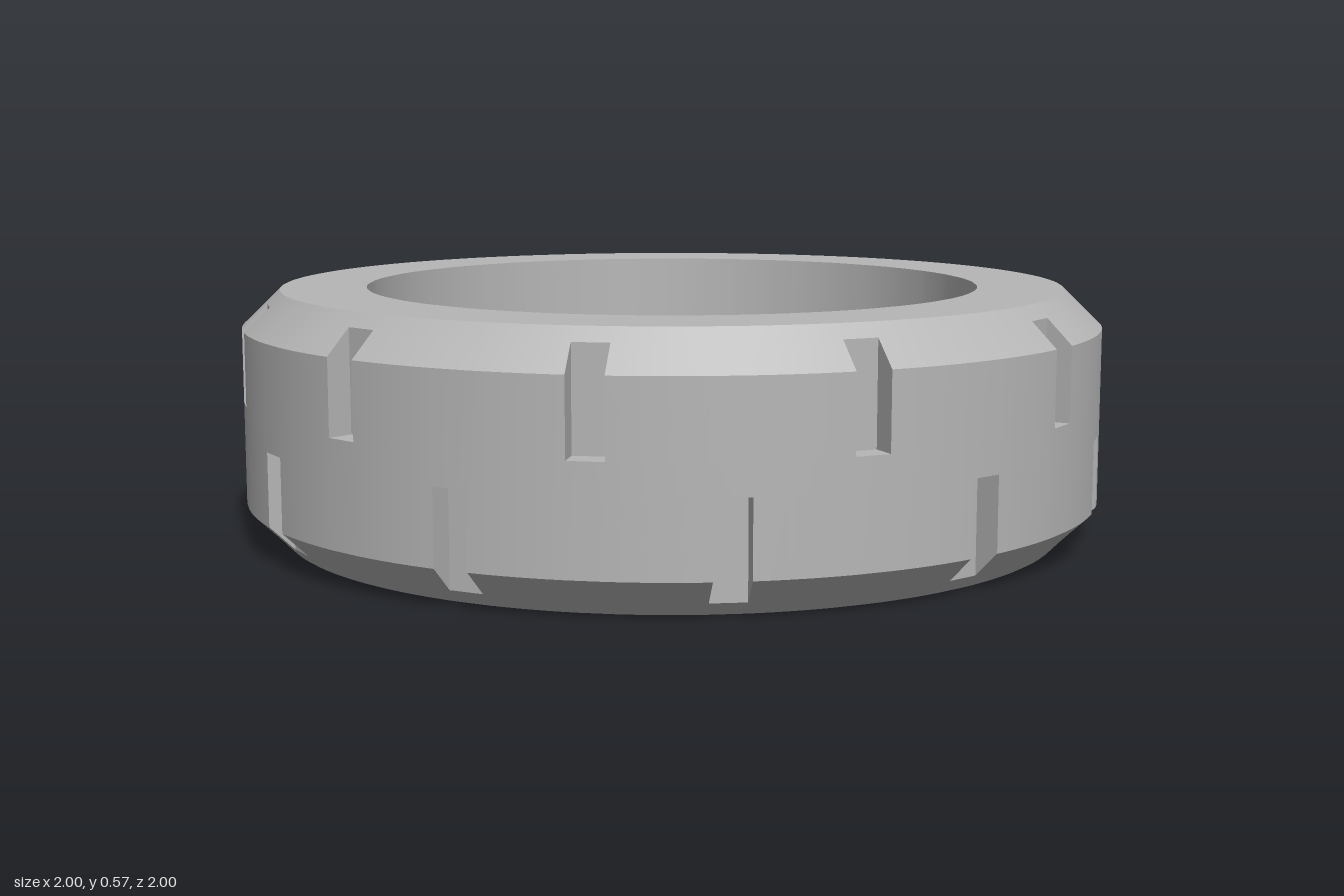
import * as THREE from 'three';
import { toCreasedNormals } from 'three/addons/utils/BufferGeometryUtils.js';

const NOTCHES = 22;          // alternating upper and lower
const STEP = (Math.PI * 2) / NOTCHES;
const SPANS = 6;             // facets between neighbouring notches
const HALF = 0.039;          // half width of a notch
const BORE = 0.715, RIM = 0.913, FLOOR = 0.942;

// Closed ring section as [radius, height], running up the outside
const SECTION = [
  [BORE, 0], [RIM, 0], [FLOOR, 0.03], [1, 0.086], [1, 0.251],
  [1, 0.321], [1, 0.488], [FLOOR, 0.544], [RIM, 0.573], [BORE, 0.573], [BORE, 0],
];

export function createModel() {
  const positions = [];

  // Point on column j of sector k; columns 0 and 1 are the parallel notch sides
  const point = ([r, y], k, j) => {
    const e = Math.asin(HALF / r);
    const a = k * STEP + (j === 0 ? -e : e + ((STEP - 2 * e) * (j - 1)) / SPANS);
    return [r * Math.cos(a), y, -r * Math.sin(a)];
  };
  const quad = (a, b, c, d) => positions.push(...a, ...b, ...c, ...a, ...c, ...d);

  // Sweep one section across one column
  const sweep = (section, k, j) => {
    for (let i = 0; i < section.length - 1; i++) {
      const p = section[i], q = section[i + 1];
      quad(point(p, k, j), point(p, k, j + 1), point(q, k, j + 1), point(q, k, j));
    }
  };

  for (let k = 0; k < NOTCHES; k++) {
    // Notch column: the outer corner is pulled in to form floor and ledge
    const upper = k % 2 === 0;
    const m = upper ? 6 : 3;
    const corner = [FLOOR, SECTION[upper ? 5 : 4][1]];
    const notched = SECTION.slice();
    notched[m] = corner;
    sweep(notched, k, 0);

    // Notch side walls
    const wall = [SECTION[m - 1], corner, SECTION[m + 1], SECTION[m]];
    quad(...wall.map((p) => point(p, k, 0)));
    quad(...wall.map((p) => point(p, k, 1)).reverse());

    // Plain tread up to the next notch
    for (let j = 1; j <= SPANS; j++) sweep(SECTION, k, j);
  }

  const geometry = new THREE.BufferGeometry();
  geometry.setAttribute('position', new THREE.Float32BufferAttribute(positions, 3));

  const rubberGrey = new THREE.MeshStandardMaterial({ color: 0xb6b6b6 });
  rubberGrey.name = 'rubberGrey';
  const tyre = new THREE.Mesh(toCreasedNormals(geometry, 0.4), rubberGrey);
  tyre.name = 'notchedTyre';

  const group = new THREE.Group();
  group.name = 'tyreRing';
  group.add(tyre);
  return group;
}
